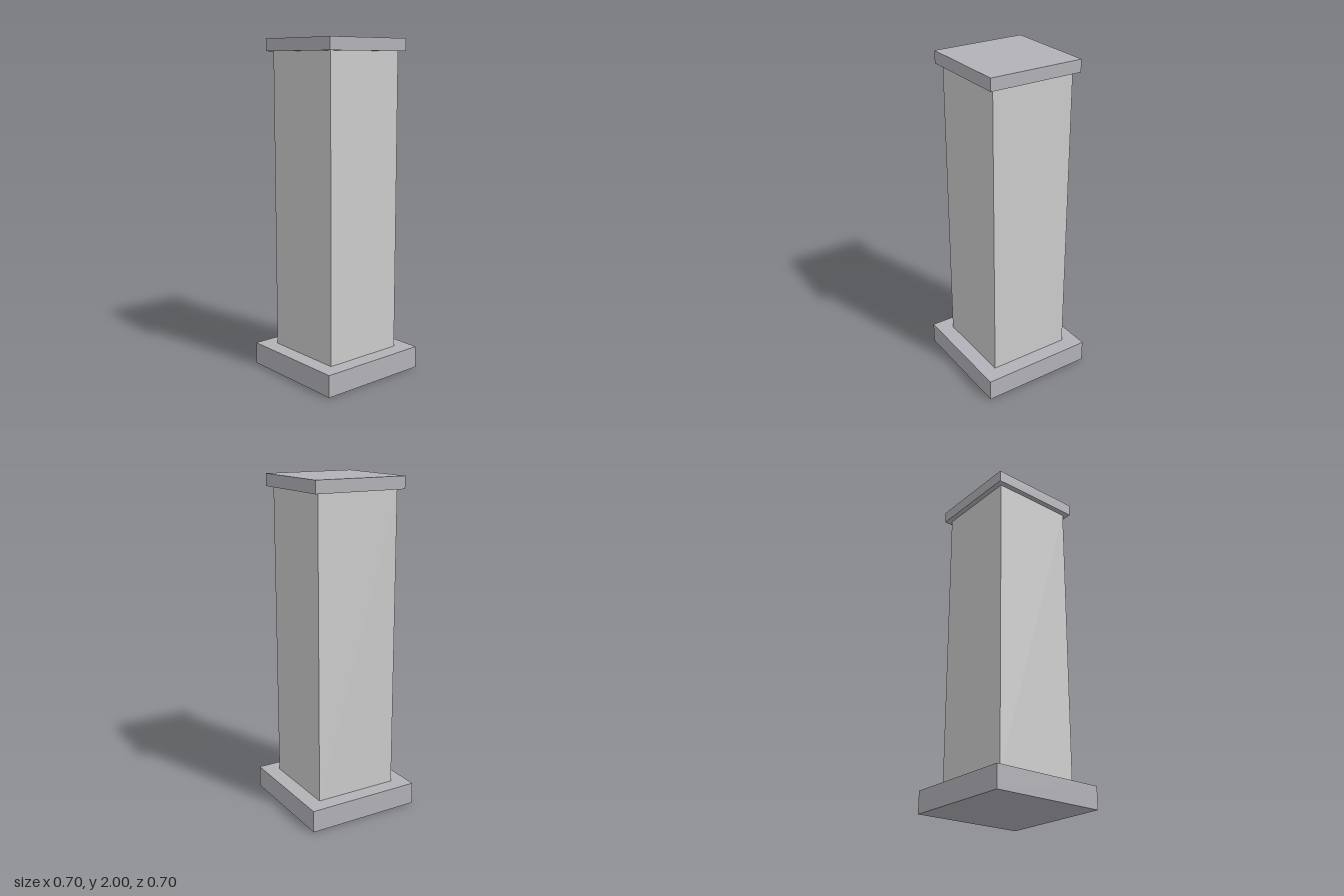
import * as THREE from 'three';

export function createModel() {
  const group = new THREE.Group();
  const shaftMaterial = new THREE.MeshStandardMaterial({ color: 0xcccccc });
  const trimMaterial = new THREE.MeshStandardMaterial({ color: 0xb2b1b7 });

  // Square slab of the given width between two heights
  function addBlock(name, width, bottom, top, material) {
    const mesh = new THREE.Mesh(new THREE.BoxGeometry(width, top - bottom, width), material);
    mesh.name = name;
    mesh.position.y = (bottom + top) / 2;
    group.add(mesh);
  }

  addBlock('base', 0.704, 0, 0.133, trimMaterial);
  addBlock('shaft', 0.514, 0.133, 1.927, shaftMaterial);
  addBlock('cap', 0.577, 1.927, 2, trimMaterial);

  group.name = 'pillar';
  return group;
}
